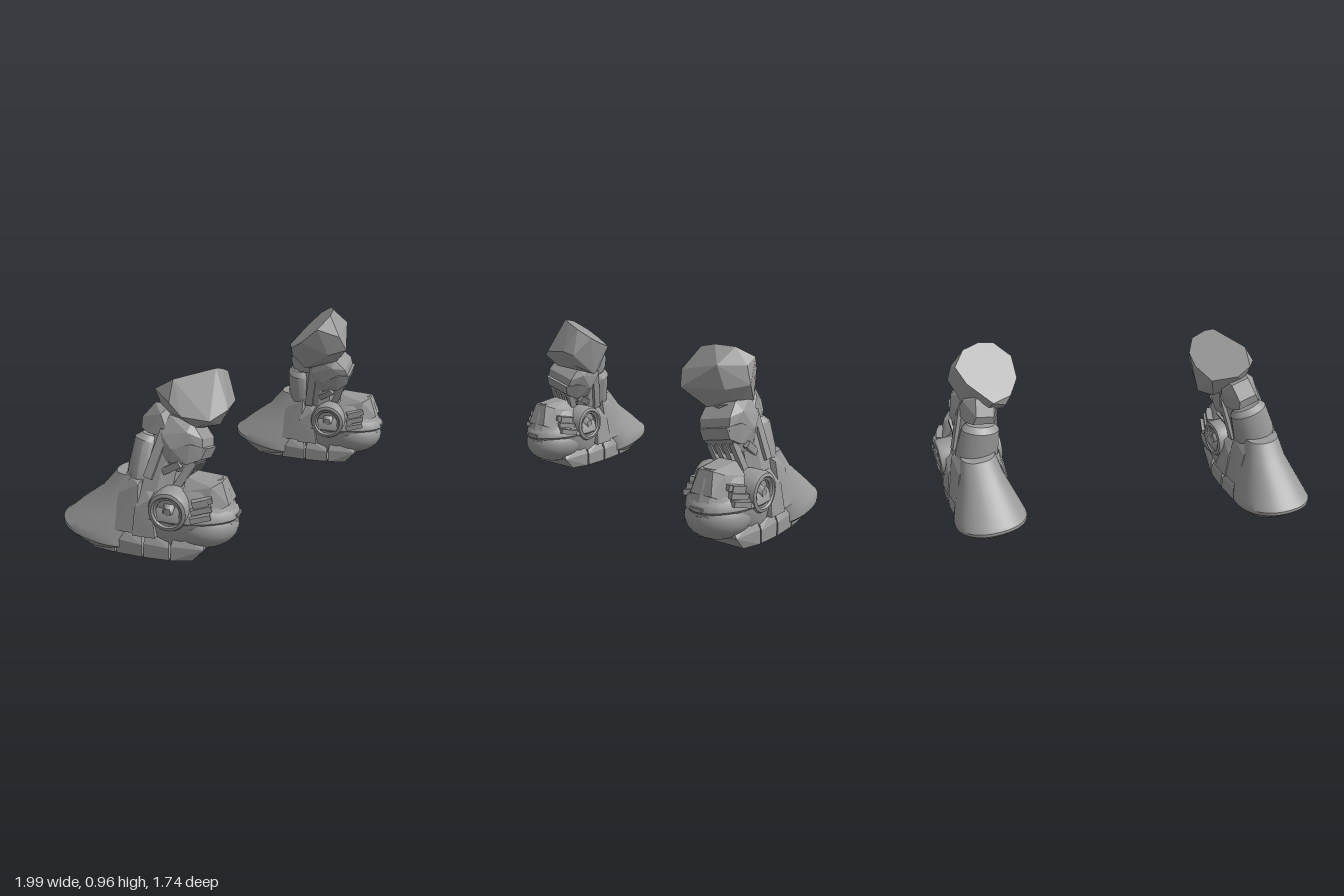
import * as THREE from 'three';
import { toCreasedNormals } from 'three/addons/utils/BufferGeometryUtils.js';
import { ConvexGeometry } from 'three/addons/geometries/ConvexGeometry.js';

const armour = new THREE.MeshStandardMaterial({ color: 0x999999 });
armour.name = 'armour grey';

function add(parent, name, geometry, x = 0, y = 0, z = 0, rx = 0, ry = 0, rz = 0) {
  const mesh = new THREE.Mesh(geometry, armour);
  mesh.name = name;
  mesh.position.set(x, y, z);
  mesh.rotation.set(rx, ry, rz);
  parent.add(mesh);
  return mesh;
}

// Faceted solid around a few points
const hull = (points) => new ConvexGeometry(points.map((p) => new THREE.Vector3(...p)));
const mirrored = (points) => points.concat(points.map(([x, y, z]) => [x, y, -z]));
const flip = (points, s) => points.map(([x, y, z]) => [x, y, z * s]);
const blunt = (v, power) => Math.sign(v) * Math.abs(v) ** power;

// Solid from oval rings, top to bottom: [centreX, y, radiusX, radiusZ, rearLift]
function loft(rings, sides = 32, crease = 0.6, power = 1) {
  const first = rings[0], last = rings[rings.length - 1];
  const rows = [[first[0], first[1], 0, 0, 0], ...rings, [last[0], last[1], 0, 0, 0]];
  const pos = [], index = [];
  rows.forEach(([cx, y, rx, rz, lift = 0]) => {
    for (let j = 0; j < sides; j++) {
      const a = (j / sides) * Math.PI * 2;
      const c = blunt(Math.cos(a), power), s = blunt(Math.sin(a), power);
      pos.push(cx + rx * c, y - lift * c, rz * s);
    }
  });
  for (let i = 0; i < rows.length - 1; i++) {
    for (let j = 0; j < sides; j++) {
      const k = (j + 1) % sides;
      const a = i * sides + j, b = i * sides + k;
      index.push(a, b, a + sides, b, b + sides, a + sides);
    }
  }
  const g = new THREE.BufferGeometry();
  g.setAttribute('position', new THREE.Float32BufferAttribute(pos, 3));
  g.setIndex(index);
  return toCreasedNormals(g, crease);
}

// Foot pointing along +x
function makeFoot() {
  const foot = new THREE.Group();
  foot.name = 'foot';

  // Flared heel skirt with a rim that rises to the rear
  add(foot, 'heelFlare', loft([
    [-0.09, 0.41, 0.085, 0.095], [-0.13, 0.3, 0.13, 0.12, 0.01], [-0.195, 0.2, 0.185, 0.16, 0.02],
    [-0.24, 0.13, 0.205, 0.188, 0.035], [-0.255, 0.1, 0.213, 0.198, 0.05],
    [-0.255, 0.08, 0.213, 0.198, 0.05], [-0.245, 0.045, 0.17, 0.165, 0.03], [-0.24, 0.005, 0.1, 0.12, 0.002],
  ], 36, 0.6, 0.88));

  // Segmented sole
  const edges = [-0.28, -0.14, 0.01, 0.15, 0.26];
  const widths = [0.135, 0.16, 0.17, 0.165, 0.135];
  for (let i = 0; i < 4; i++) {
    const a = edges[i] + 0.005, b = edges[i + 1] - 0.005, wa = widths[i], wb = widths[i + 1];
    const nose = i === 3 ? 0.06 : 0;
    add(foot, 'soleBlock', hull(mirrored([
      [a, 0.015, wa], [b, 0.015, wb], [a, 0.09, wa], [b + nose, 0.08, wb],
      [a + 0.01, 0.145, wa - 0.025], [b - 0.01 + nose, 0.12, wb - 0.025],
    ])));
  }

  // Instep shell, brow rim and domed toe
  add(foot, 'instepShell', loft([
    [0.27, 0.4, 0.1, 0.06, -0.015], [0.23, 0.36, 0.17, 0.1, -0.005], [0.18, 0.29, 0.245, 0.15],
    [0.16, 0.25, 0.285, 0.172], [0.16, 0.2, 0.285, 0.172], [0.13, 0.11, 0.22, 0.15], [0.08, 0.05, 0.17, 0.13],
  ], 20, 0.4));
  add(foot, 'toeBrow', loft([
    [0.16, 0.285, 0.255, 0.155], [0.16, 0.255, 0.288, 0.176], [0.16, 0.225, 0.296, 0.182], [0.16, 0.21, 0.28, 0.17],
  ], 32));
  const dome = add(foot, 'toeDome', new THREE.SphereGeometry(1, 32, 20), 0.27, 0.17, 0);
  dome.scale.set(0.177, 0.12, 0.16);
  add(foot, 'instepTongue', hull(mirrored([
    [0.38, 0.41, 0.04], [0.2, 0.42, 0.05], [0.42, 0.3, 0.06], [0.34, 0.39, 0.08], [0.2, 0.36, 0.1], [0.34, 0.26, 0.12],
  ])));
  add(foot, 'toeNotch', new THREE.BoxGeometry(0.02, 0.014, 0.07), 0.446, 0.238, 0);

  for (const s of [1, -1]) {
    // Round ankle joint
    const joint = new THREE.Group();
    joint.name = 'ankleJoint';
    joint.position.set(0.145, 0.275, s * 0.138);
    joint.rotation.x = s > 0 ? 0 : Math.PI;
    foot.add(joint);
    const bowl = [[0, 0.01], [0.062, 0.01], [0.07, 0.035], [0.08, 0.045], [0.096, 0.04], [0.104, 0.02], [0.104, -0.06]];
    const profile = bowl.reverse().map(([r, y]) => new THREE.Vector2(r, y));
    add(joint, 'jointRing', toCreasedNormals(new THREE.LatheGeometry(profile, 36), 0.5), 0, 0, 0, Math.PI / 2);
    add(joint, 'jointLip', new THREE.TorusGeometry(0.068, 0.008, 8, 32), 0, 0, 0.03);
    add(joint, 'jointHub', new THREE.CylinderGeometry(0.022, 0.042, 0.03, 5), 0, 0, 0.022, Math.PI / 2);

    // Stepped clamp in front of the joint
    for (let i = 0; i < 3; i++) {
      add(foot, 'clampTooth', new THREE.BoxGeometry(0.1, 0.028, 0.06 - i * 0.008),
        0.3, 0.255 + i * 0.036, s * (0.138 - i * 0.014), 0, s * 0.35, 0.2);
    }
    add(foot, 'clampBase', new THREE.BoxGeometry(0.075, 0.11, 0.05), 0.3, 0.285, s * 0.112, 0, s * 0.35, 0.2);

    // Overlapping plates between joint and heel
    add(foot, 'ankleRearPlate', hull(flip([
      [-0.15, 0.14, 0.165], [-0.02, 0.14, 0.175], [-0.13, 0.32, 0.12], [-0.02, 0.38, 0.13],
      [-0.15, 0.14, 0.08], [0.0, 0.14, 0.08], [-0.1, 0.42, 0.07], [0.0, 0.42, 0.07],
    ], s)));
    add(foot, 'ankleMidPlate', hull(flip([
      [-0.04, 0.13, 0.18], [0.08, 0.13, 0.18], [-0.03, 0.27, 0.16], [0.05, 0.32, 0.15],
      [-0.04, 0.13, 0.1], [0.08, 0.13, 0.1], [0.0, 0.36, 0.1], [0.06, 0.36, 0.1],
    ], s)));
  }
  return foot;
}

// Lower leg, with its origin at the ankle
function makeLeg() {
  const leg = new THREE.Group();
  leg.name = 'lowerLeg';
  add(leg, 'ankleColumn', loft([
    [0.03, 0.34, 0.1, 0.09], [0.01, 0.2, 0.115, 0.105], [-0.01, 0.08, 0.12, 0.11], [0, -0.08, 0.13, 0.12],
  ], 10, 0.3));
  add(leg, 'calfGuard', loft([
    [-0.1, 0.22, 0.055, 0.08], [-0.105, 0.19, 0.08, 0.105], [-0.085, 0.05, 0.09, 0.12], [-0.07, -0.06, 0.09, 0.11],
  ], 16, 0.5));
  add(leg, 'calfLobe', hull(mirrored([
    [-0.15, 0.24, 0.06], [-0.165, 0.29, 0.05], [-0.12, 0.38, 0.05], [-0.03, 0.4, 0.06],
    [0.02, 0.24, 0.11], [-0.06, 0.34, 0.1], [-0.1, 0.23, 0.085],
  ])));
  add(leg, 'shinBlock', hull(mirrored([
    [-0.02, 0.35, 0.09], [0.1, 0.35, 0.085], [0.175, 0.29, 0.09], [0.195, 0.23, 0.085],
    [0.15, 0.11, 0.065], [0.02, 0.08, 0.08], [0.05, 0.2, 0.132], [0.1, 0.3, 0.12], [-0.02, 0.25, 0.12],
  ])));
  add(leg, 'shinBand', hull(mirrored([
    [0.14, 0.15, 0.1], [0.195, 0.19, 0.08], [0.205, 0.25, 0.08], [0.13, 0.25, 0.118], [0.05, 0.2, 0.128], [0.05, 0.13, 0.105],
  ])));
  // Pistons under the shin
  for (const z of [-0.066, -0.022, 0.022, 0.066]) {
    add(leg, 'shinPiston', new THREE.BoxGeometry(0.04, 0.16, 0.025), 0.135, 0.09, z, 0, 0, -0.3);
  }
  for (const s of [1, -1]) {
    add(leg, 'sideStrip', new THREE.BoxGeometry(0.045, 0.25, 0.02), -0.02, 0.15, s * 0.108, -s * 0.06, 0, -0.05);
    add(leg, 'sideFin', new THREE.BoxGeometry(0.1, 0.035, 0.025), 0.07, 0.11, s * 0.098, s * 0.25, 0, 0.7);
  }
  return leg;
}

// Each boot: position, leg lean, and the knee's corners relative to that position (cut face first)
const boots = [
  { name: 'rightBoot', x: -0.56, z: 0.56, leanX: -0.27, leanZ: -0.22, knee: [
    [0.06, 0.775, -0.11], [0.175, 0.744, -0.19], [0.3, 0.783, -0.17], [0.37, 0.824, -0.13], [0.4, 0.877, -0.06],
    [0.36, 0.91, 0], [0.32, 0.922, 0.03], [0.11, 0.88, 0.03], [0.03, 0.817, -0.04],
    [0.43, 0.73, -0.04], [0.42, 0.75, 0.02], [0.36, 0.74, 0.13], [0.26, 0.7, 0.17], [0.13, 0.72, 0.13], [0.08, 0.78, 0.08],
    [0.2, 0.655, 0.11], [0.33, 0.65, 0.08], [0.26, 0.62, 0.02], [0.38, 0.66, -0.04], [0.12, 0.66, -0.06],
    [0.3, 0.6, -0.13], [0.19, 0.62, -0.14], [0.07, 0.71, -0.02]] },
  { name: 'leftBoot', x: 0.58, z: -0.54, leanX: 0.2, leanZ: -0.08, knee: [
    [-0.15, 0.726, 0.04], [-0.02, 0.829, -0.018], [0.06, 0.901, -0.015], [0.09, 0.952, 0.08], [0.07, 0.959, 0.18],
    [0.03, 0.94, 0.25], [-0.06, 0.87, 0.29], [-0.14, 0.785, 0.24], [-0.174, 0.732, 0.15],
    [0.166, 0.874, 0.16], [0.177, 0.76, 0.12], [0.15, 0.78, 0.0], [0.13, 0.87, 0.02], [0.104, 0.75, 0.34], [0.06, 0.83, 0.34],
    [0.0, 0.72, 0.32], [0.02, 0.67, 0.27], [0.086, 0.634, 0.19], [0.12, 0.67, 0.07], [-0.09, 0.607, 0.17],
    [-0.06, 0.63, 0.04], [0.04, 0.68, -0.01], [-0.16, 0.68, 0.12]] },
];

export function createModel() {
  const model = new THREE.Group();
  model.name = 'armouredBoots';
  for (const b of boots) {
    const boot = new THREE.Group();
    boot.name = b.name;
    boot.position.set(b.x, 0, b.z);
    model.add(boot);

    const lower = new THREE.Group();
    lower.name = 'bootBase';
    lower.rotation.y = -Math.PI / 6;
    boot.add(lower);
    lower.add(makeFoot());
    const leg = makeLeg();
    leg.position.set(0.04, 0.35, 0);
    leg.rotation.set(b.leanX, 0, b.leanZ);
    lower.add(leg);

    add(boot, 'kneeGuard', hull(b.knee));
  }
  return model;
}
